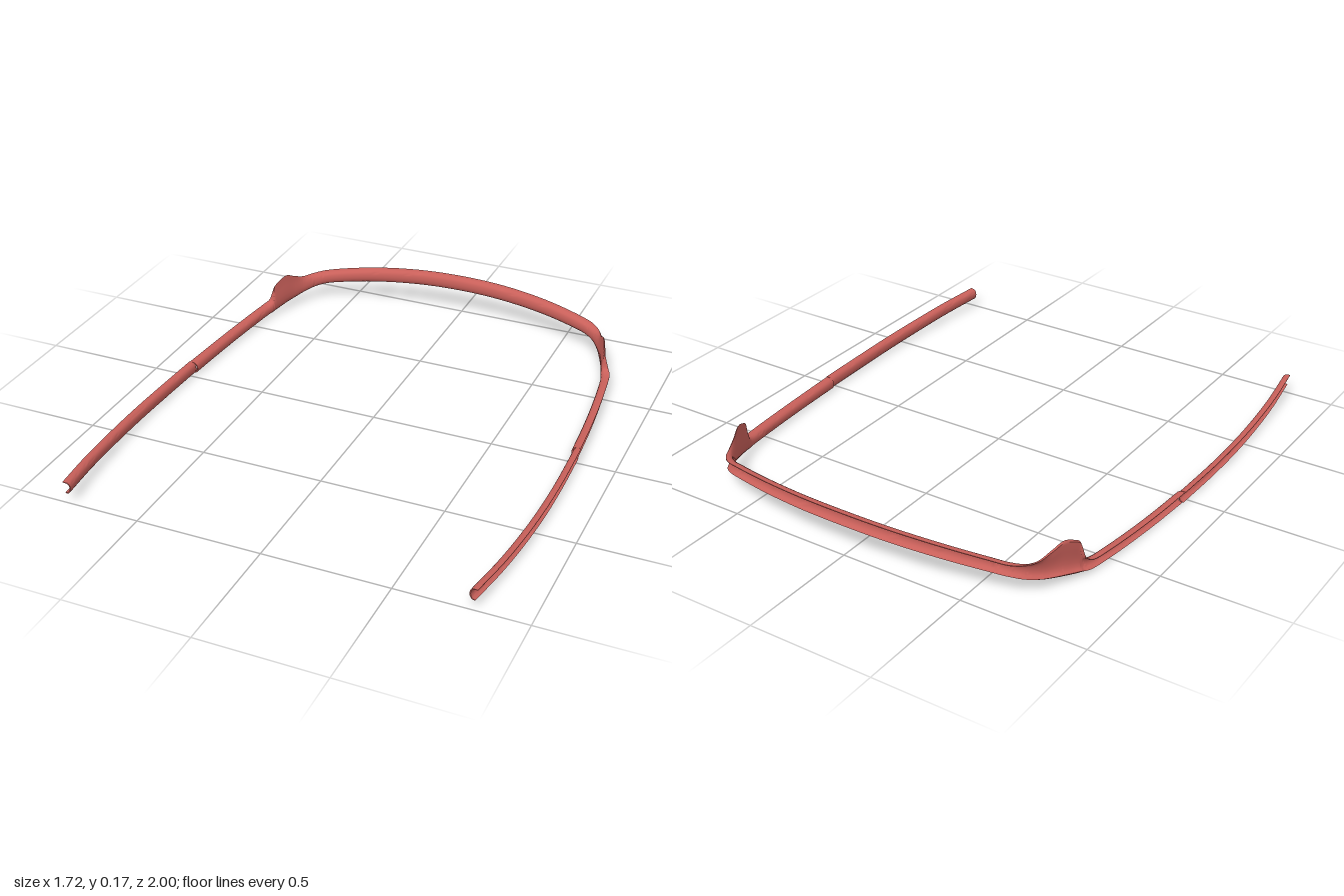
import * as THREE from 'three';
import { toCreasedNormals } from 'three/addons/utils/BufferGeometryUtils.js';

const material = new THREE.MeshStandardMaterial({ color: 0xc9605a, side: THREE.DoubleSide });

// Sections are [inward distance, height fraction]: down the inner face, then back up
// the hollow outer face.
function closeSection(face) {
  const hollow = face.map(([d, v]) => [Math.max(0, d - 0.005), 0.5 + (v - 0.5) * 0.9]);
  return [...face, ...hollow.reverse()];
}

// Channel open to the outside, and an upright section where the top rises into a tab
const channel = closeSection([[0, 1], [0.012, 0.99], [0.023, 0.96], [0.031, 0.86], [0.035, 0.7],
  [0.036, 0.5], [0.035, 0.32], [0.031, 0.15], [0.025, 0.04], [0.014, 0]]);
const upright = closeSection([[0.026, 1], [0.027, 0.92], [0.028, 0.8], [0.03, 0.68], [0.032, 0.55],
  [0.034, 0.4], [0.034, 0.24], [0.031, 0.1], [0.025, 0.03], [0.014, 0]]);

// Path points are [x, z, bottom y, height, tab amount] on the outer edge.
const mirror = (pts) => pts.map(([x, ...rest]) => [-x, ...rest]).reverse();

// Sweeps the section along a path, blending from channel to upright by the tab amount
function sweep(name, pts, depth, steps) {
  const low = new THREE.CatmullRomCurve3(pts.map(([x, z, y]) => new THREE.Vector3(x, y, z)));
  const shape = new THREE.SplineCurve(pts.map((p) => new THREE.Vector2(p[3], p[4] ?? 0)));
  const n = channel.length;
  const pos = [];
  const index = [];
  for (let i = 0; i <= steps; i++) {
    const p = low.getPoint(i / steps);
    const t = low.getTangent(i / steps);
    const len = Math.hypot(t.x, t.z);
    const { x: height, y: amount } = shape.getPoint(i / steps);
    const tab = THREE.MathUtils.clamp(amount, 0, 1);
    for (let j = 0; j < n; j++) {
      const d = depth * THREE.MathUtils.lerp(channel[j][0], upright[j][0], tab);
      const v = THREE.MathUtils.lerp(channel[j][1], upright[j][1], tab);
      pos.push(p.x - (t.z / len) * d, p.y + v * height, p.z + (t.x / len) * d);
    }
  }
  for (let i = 0; i < steps; i++) {
    for (let j = 0; j < n; j++) {
      const a = i * n + j, b = i * n + (j + 1) % n;
      index.push(a, b, a + n, b, b + n, a + n);
    }
  }
  // End caps join the inner face to the hollow face
  const e = steps * n;
  for (let j = 0; j < n / 2 - 1; j++) {
    const k = n - 1 - j;
    index.push(j, k, j + 1, k, k - 1, j + 1);
    index.push(e + j, e + j + 1, e + k, e + k, e + j + 1, e + k - 1);
  }
  const geo = new THREE.BufferGeometry();
  geo.setAttribute('position', new THREE.Float32BufferAttribute(pos, 3));
  geo.setIndex(index);
  const mesh = new THREE.Mesh(toCreasedNormals(geo, 0.75), material);
  mesh.name = name;
  return mesh;
}

export function createModel() {
  const group = new THREE.Group();
  group.name = 'wraparoundBand';

  // Rear bar, rounded corners with raised tabs, and the back half of each arm
  const half = [
    [0.2, -0.991, 0.109, 0.062], [0.4, -0.96, 0.098, 0.06], [0.56, -0.918, 0.083, 0.057],
    [0.625, -0.895, 0.074, 0.056, 0], [0.675, -0.862, 0.062, 0.062, 0.3],
    [0.712, -0.815, 0.049, 0.078, 0.75], [0.737, -0.766, 0.038, 0.108, 1],
    [0.756, -0.722, 0.029, 0.137, 1], [0.771, -0.683, 0.021, 0.134, 1],
    [0.783, -0.65, 0.015, 0.118, 1], [0.787, -0.639, 0.013, 0.062, 0.3],
    [0.797, -0.61, 0.01, 0.048, 0], [0.813, -0.5, 0.006, 0.047],
    [0.829, -0.35, 0.003, 0.047], [0.841, -0.2, 0.001, 0.048], [0.851, -0.031, 0, 0.05],
  ];
  group.add(sweep('rearBand', [...mirror(half), [0, -1, 0.113, 0.062], ...half], 1, 256));

  // Front half of each arm
  const arm = [
    [0.853, -0.029, 0, 0.051], [0.859, 0.2, 0.002, 0.051], [0.859, 0.4, 0.007, 0.051],
    [0.851, 0.6, 0.015, 0.05], [0.835, 0.8, 0.026, 0.049], [0.809, 0.998, 0.038, 0.048],
  ];
  group.add(sweep('leftFrontArm', arm, 0.86, 40));
  group.add(sweep('rightFrontArm', mirror(arm), 0.86, 40));

  return group;
}
